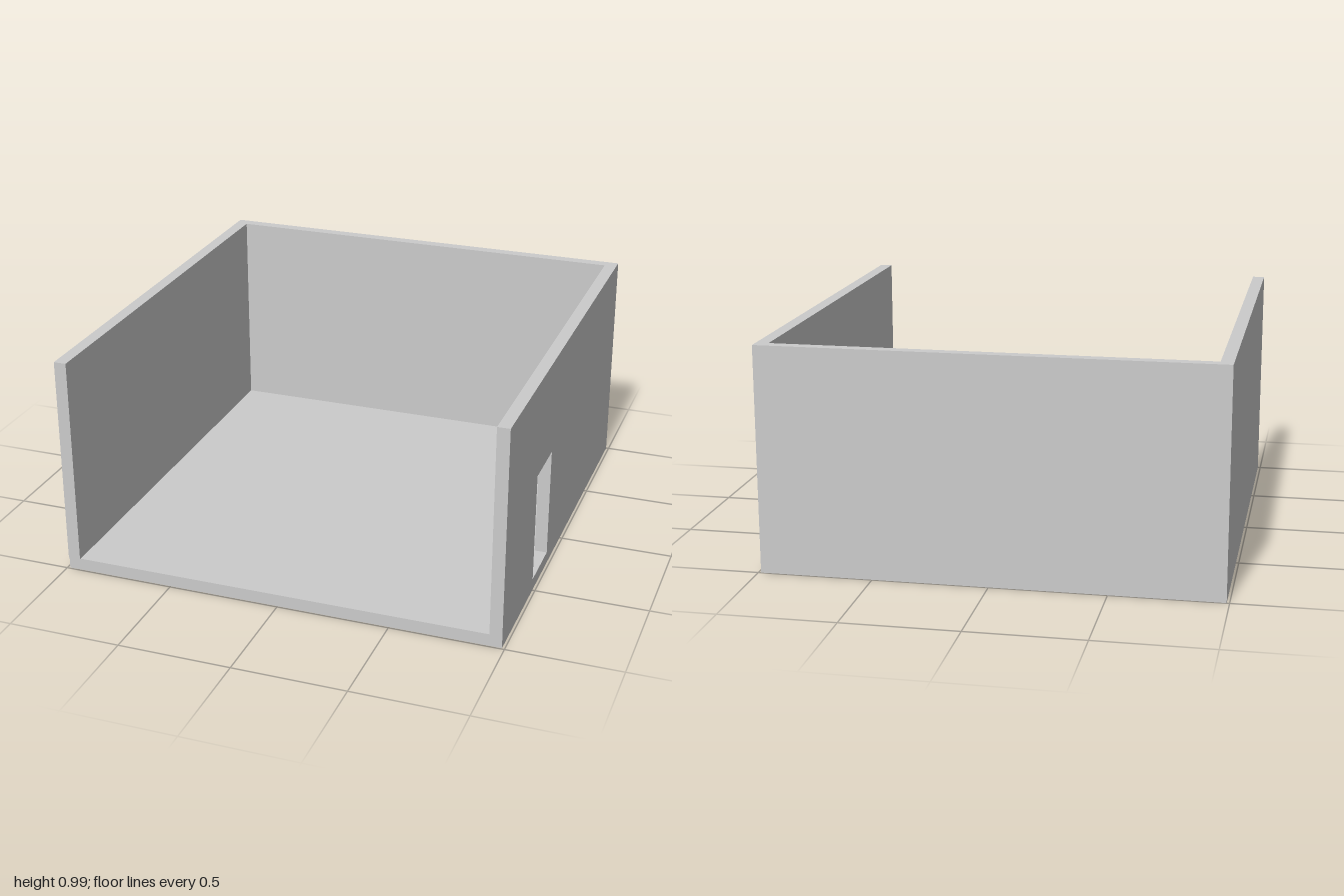
import * as THREE from 'three';

export function createModel() {
  const group = new THREE.Group();
  group.name = 'openRoom';
  const material = new THREE.MeshStandardMaterial({ color: 0xcccccc, flatShading: true });

  const HALF = 0.988, FLOOR = 0.055, TOP = 0.99, WALL = 0.055;
  const BACK = -0.998, FRONT = 0.994;

  const add = (name, geometry) => {
    const mesh = new THREE.Mesh(geometry, material);
    mesh.name = name;
    group.add(mesh);
    return mesh;
  };

  // Box given by its minimum and maximum corners
  const slab = (name, [x0, y0, z0], [x1, y1, z1]) =>
    add(name, new THREE.BoxGeometry(x1 - x0, y1 - y0, z1 - z0))
      .position.set((x0 + x1) / 2, (y0 + y1) / 2, (z0 + z1) / 2);

  // Floor and the two plain walls standing on it
  slab('floor', [-HALF, 0, BACK], [HALF, FLOOR, FRONT]);
  slab('rightWall', [-HALF, FLOOR, BACK], [-HALF + WALL, TOP, 1]);
  slab('backWall', [-HALF + WALL, FLOOR, BACK], [HALF - WALL, TOP, BACK + 0.05]);

  // Wall with a doorway cut up from the floor, drawn in z and y
  const outline = new THREE.Shape([
    [BACK, FLOOR], [0.25, FLOOR], [0.25, 0.552], [0.5, 0.552],
    [0.5, FLOOR], [FRONT, FLOOR], [FRONT, TOP], [BACK, TOP],
  ].map(([z, y]) => new THREE.Vector2(z, y)));
  const doorWall = add('doorWall',
    new THREE.ExtrudeGeometry(outline, { depth: WALL, bevelEnabled: false }));
  doorWall.rotation.y = -Math.PI / 2;
  doorWall.position.x = HALF;

  return group;
}
